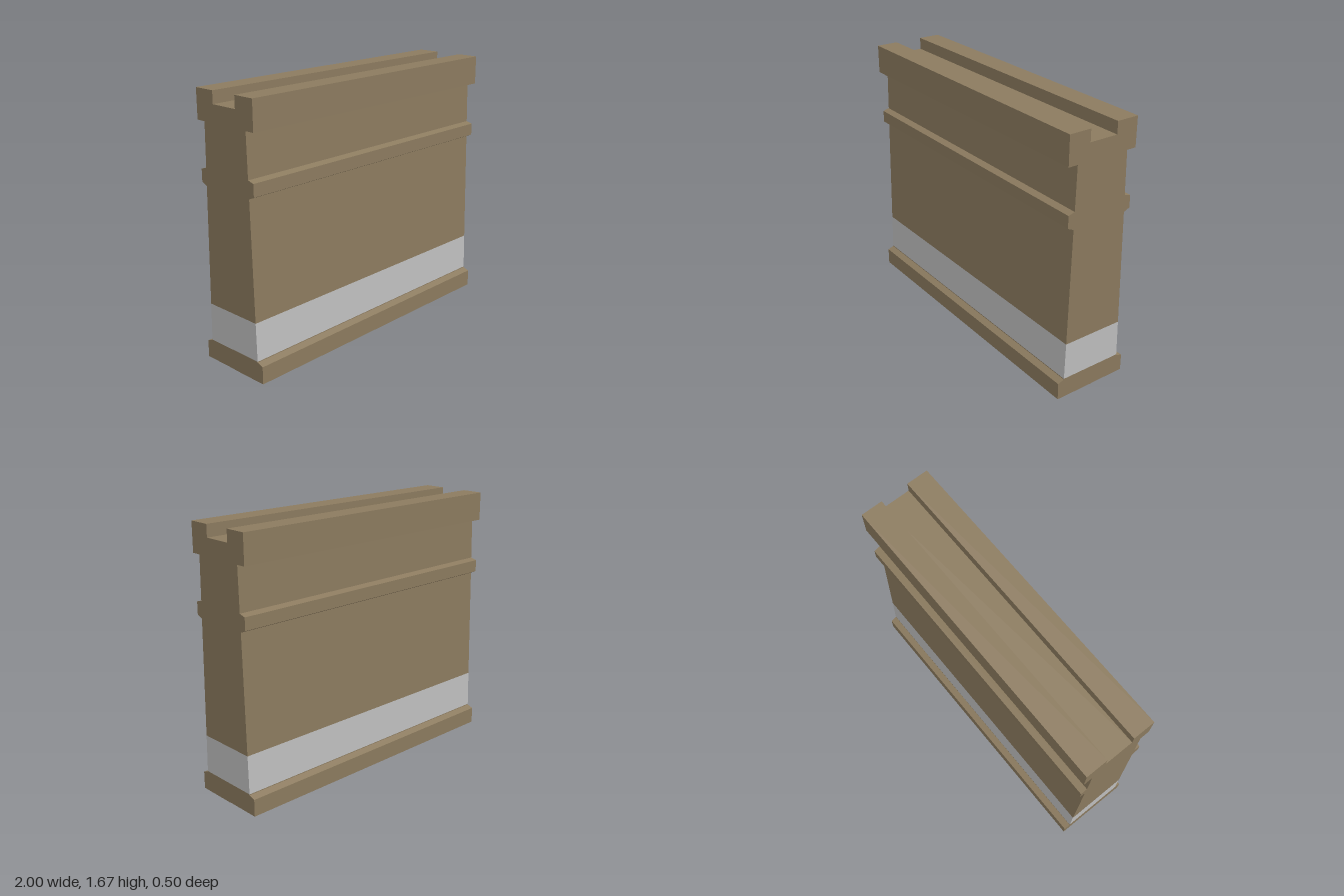
import * as THREE from 'three';

const LENGTH = 2;

const stone = new THREE.MeshStandardMaterial({ color: 0x8c7b5f });
stone.name = 'brown stone';
const band = new THREE.MeshStandardMaterial({ color: 0xc0c0c0 });
band.name = 'pale grey';

// Extrudes a [z, y] cross-section along the length of the wall.
function run(name, points, material) {
  const shape = new THREE.Shape(points.map(([z, y]) => new THREE.Vector2(-z, y)));
  const geometry = new THREE.ExtrudeGeometry(shape, { depth: LENGTH, bevelEnabled: false });
  geometry.translate(0, 0, -LENGTH / 2).rotateY(Math.PI / 2);
  const mesh = new THREE.Mesh(geometry, material);
  mesh.name = name;
  return mesh;
}

// Completes a half section, given from bottom to top, with its mirror image.
const mirrored = (half) => [...half, ...half.map(([z, y]) => [-z, y]).reverse()];

export function createModel() {
  const wall = new THREE.Group();
  wall.name = 'parapetWall';

  // Footing with chamfered top and a shallow recess below for the pale strip
  wall.add(run('footing', [
    [0.25, 0], [0.25, 0.11], [0.208, 0.125], [0.208, 0.13],
    [-0.208, 0.13], [-0.208, 0.125], [-0.25, 0.11], [-0.25, 0.002],
    [-0.01, 0.002], [-0.01, 0],
  ], stone));

  // Pale strip under the back half of the footing
  const strip = new THREE.Mesh(new THREE.PlaneGeometry(LENGTH, 0.24), band);
  strip.name = 'undersideStrip';
  strip.rotation.x = Math.PI / 2;
  strip.position.set(0, 0.001, -0.13);
  wall.add(strip);

  // Pale band around the foot of the wall
  wall.add(run('paleBand', mirrored([[0.208, 0.13], [0.202, 0.37]]), band));

  // Tapering wall, string course, cornice and channel along the top
  wall.add(run('upperWall', mirrored([
    [0.202, 0.37], [0.185, 1.11],
    [0.225, 1.128], [0.225, 1.206], [0.182, 1.218],
    [0.176, 1.49], [0.238, 1.49], [0.238, 1.675],
    [0.094, 1.675], [0.094, 1.598],
  ]), stone));

  return wall;
}
